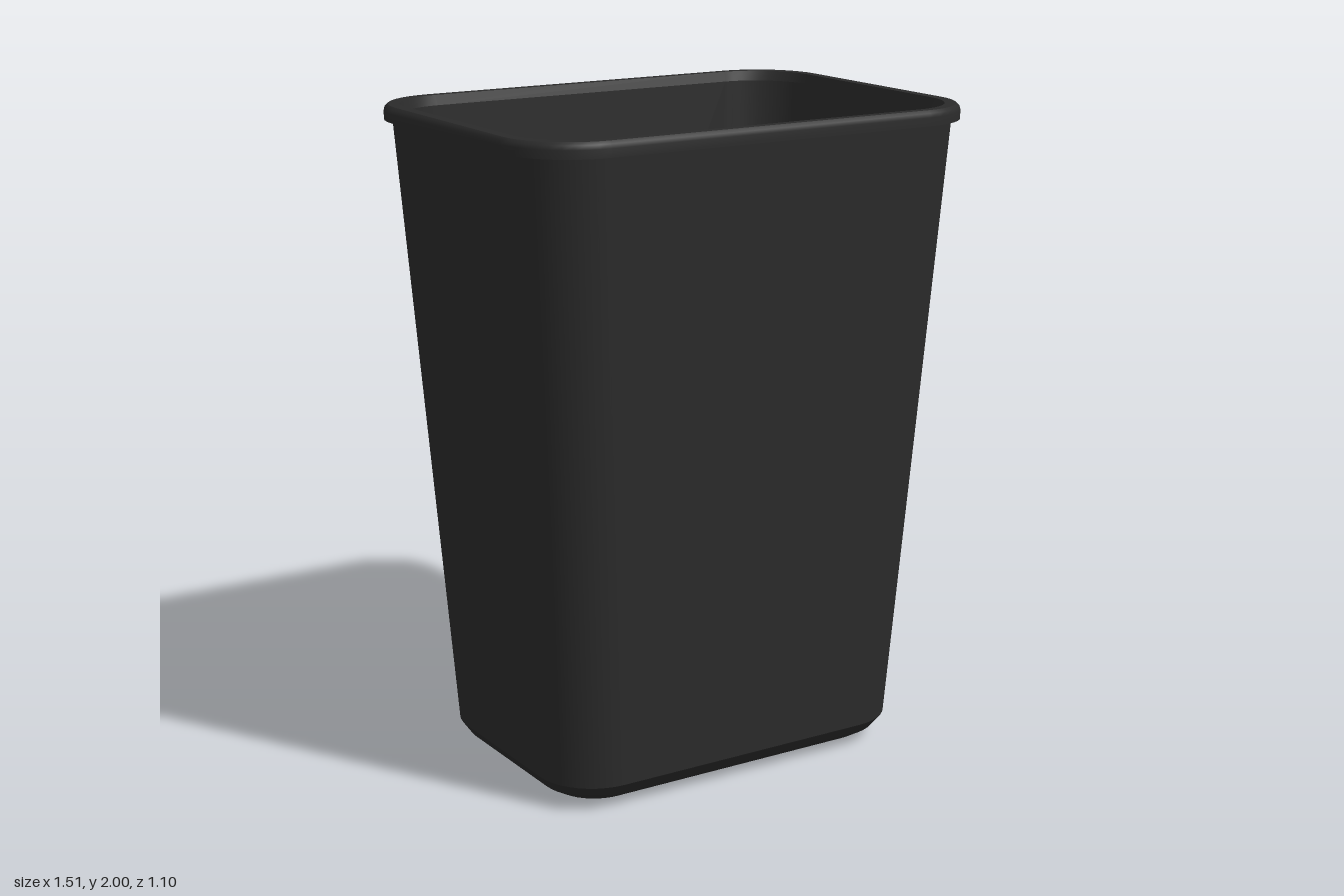
import * as THREE from 'three';

const CORNER_STEPS = 10;

// Rounded rectangle outline at height y: half width, half depth, corner radius
function ring([hx, hz, y, r]) {
  const pts = [];
  for (let q = 0; q < 4; q++) {
    const sx = q === 0 || q === 3 ? 1 : -1;
    const sz = q < 2 ? 1 : -1;
    for (let i = 0; i <= CORNER_STEPS; i++) {
      const a = (q + i / CORNER_STEPS) * Math.PI / 2;
      pts.push(sx * (hx - r) + r * Math.cos(a), y, sz * (hz - r) + r * Math.sin(a));
    }
  }
  return pts;
}

// Smooth skin through a list of rings, closed around the outline
function loft(name, sections, material) {
  const n = 4 * (CORNER_STEPS + 1);
  const index = [];
  for (let s = 0; s < sections.length - 1; s++) {
    for (let i = 0; i < n; i++) {
      const a = s * n + i, b = s * n + (i + 1) % n;
      index.push(a, a + n, b, b, a + n, b + n);
    }
  }
  const geo = new THREE.BufferGeometry();
  geo.setAttribute('position', new THREE.Float32BufferAttribute(sections.flatMap(ring), 3));
  geo.setIndex(index);
  geo.computeVertexNormals();
  const mesh = new THREE.Mesh(geo, material);
  mesh.name = name;
  return mesh;
}

export function createModel() {
  const plastic = new THREE.MeshStandardMaterial({ color: 0x2b2b2b });
  plastic.name = 'charcoal plastic';
  const bin = new THREE.Group();
  bin.name = 'wasteBin';

  // Each section: half width, half depth, height, corner radius
  const parts = {
    // underside with its rounded lower edge
    base: [[0, 0, 0, 0], [0.5, 0.3, 0, 0.1], [0.54, 0.345, 0.015, 0.13],
      [0.58, 0.385, 0.04, 0.16], [0.607, 0.415, 0.08, 0.18]],
    // tapering outer wall
    outerWall: [[0.607, 0.415, 0.08, 0.18], [0.732, 0.525, 1.955, 0.2]],
    // overhanging rim: underside, band with rounded edge, flat top, inner edge
    rimUnderside: [[0.732, 0.525, 1.955, 0.2], [0.755, 0.55, 1.955, 0.22]],
    rimBand: [[0.755, 0.55, 1.955, 0.22], [0.755, 0.55, 1.98, 0.22],
      [0.752, 0.547, 1.992, 0.217], [0.743, 0.538, 2, 0.21]],
    rimTop: [[0.743, 0.538, 2, 0.21], [0.711, 0.511, 2, 0.19]],
    rimInside: [[0.711, 0.511, 2, 0.19], [0.703, 0.501, 1.97, 0.185]],
    // inside wall and rounded floor
    innerWall: [[0.703, 0.501, 1.97, 0.185], [0.57, 0.37, 0.1, 0.17]],
    innerFloor: [[0.57, 0.37, 0.1, 0.17], [0.545, 0.345, 0.07, 0.15],
      [0.51, 0.31, 0.048, 0.12], [0.47, 0.28, 0.04, 0.1], [0, 0, 0.04, 0]],
  };
  for (const [name, sections] of Object.entries(parts)) bin.add(loft(name, sections, plastic));
  return bin;
}
